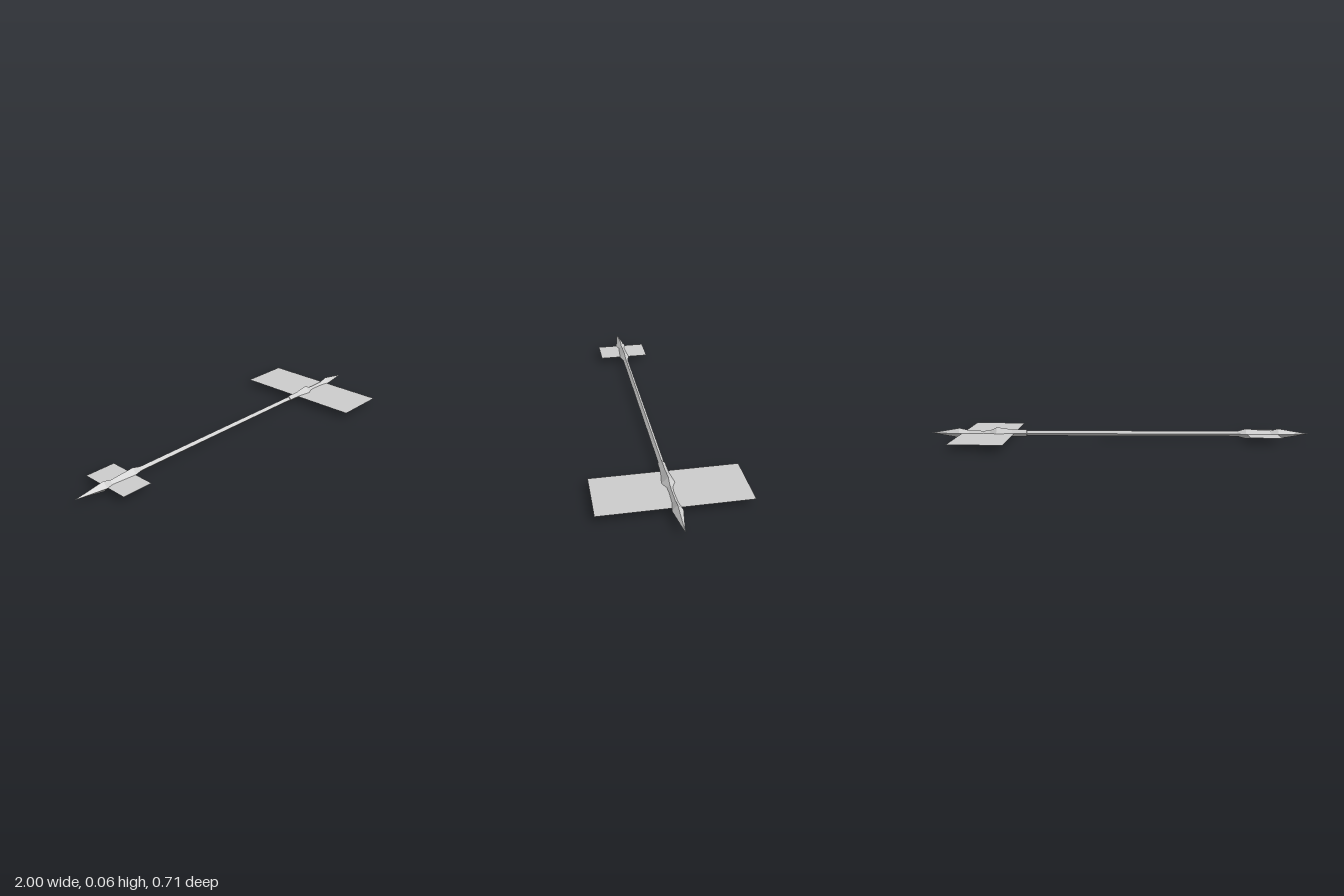
import * as THREE from 'three';

const AXIS_Y = 0.031;

export function createModel() {
  const group = new THREE.Group();
  const rodGrey = new THREE.MeshStandardMaterial({ color: 0xcccccc, flatShading: true });
  rodGrey.name = 'light grey';
  const finGrey = new THREE.MeshStandardMaterial({ color: 0xcccccc, side: THREE.DoubleSide });
  finGrey.name = 'fin grey';

  // Rod with a diamond cross-section: [x along the rod, radius]
  const profile = [
    [-1, 0], [-0.84, 0.027], [-0.8, 0.016], [-0.67, 0.026], [-0.625, 0.014],
    [0.49, 0.014], [0.492, 0.018], [0.57, 0.019], [0.65, 0.031], [0.685, 0.014],
    [0.72, 0.011], [0.8, 0.014], [0.85, 0.026], [1, 0],
  ].map(([x, r]) => new THREE.Vector2(r, x));
  const rod = new THREE.Mesh(new THREE.LatheGeometry(profile, 4), rodGrey);
  rod.name = 'spearRod';
  rod.rotation.z = -Math.PI / 2;
  rod.position.y = AXIS_Y;
  group.add(rod);

  // Flat fins lying level through the rod
  const addFin = (name, x0, x1, halfDepth) => {
    const fin = new THREE.Mesh(new THREE.PlaneGeometry(x1 - x0, halfDepth * 2), finGrey);
    fin.name = name;
    fin.rotation.x = -Math.PI / 2;
    fin.position.set((x0 + x1) / 2, AXIS_Y, 0);
    group.add(fin);
  };
  addFin('largeFin', 0.556, 0.834, 0.356);
  addFin('smallFin', -0.836, -0.674, 0.137);

  return group;
}
